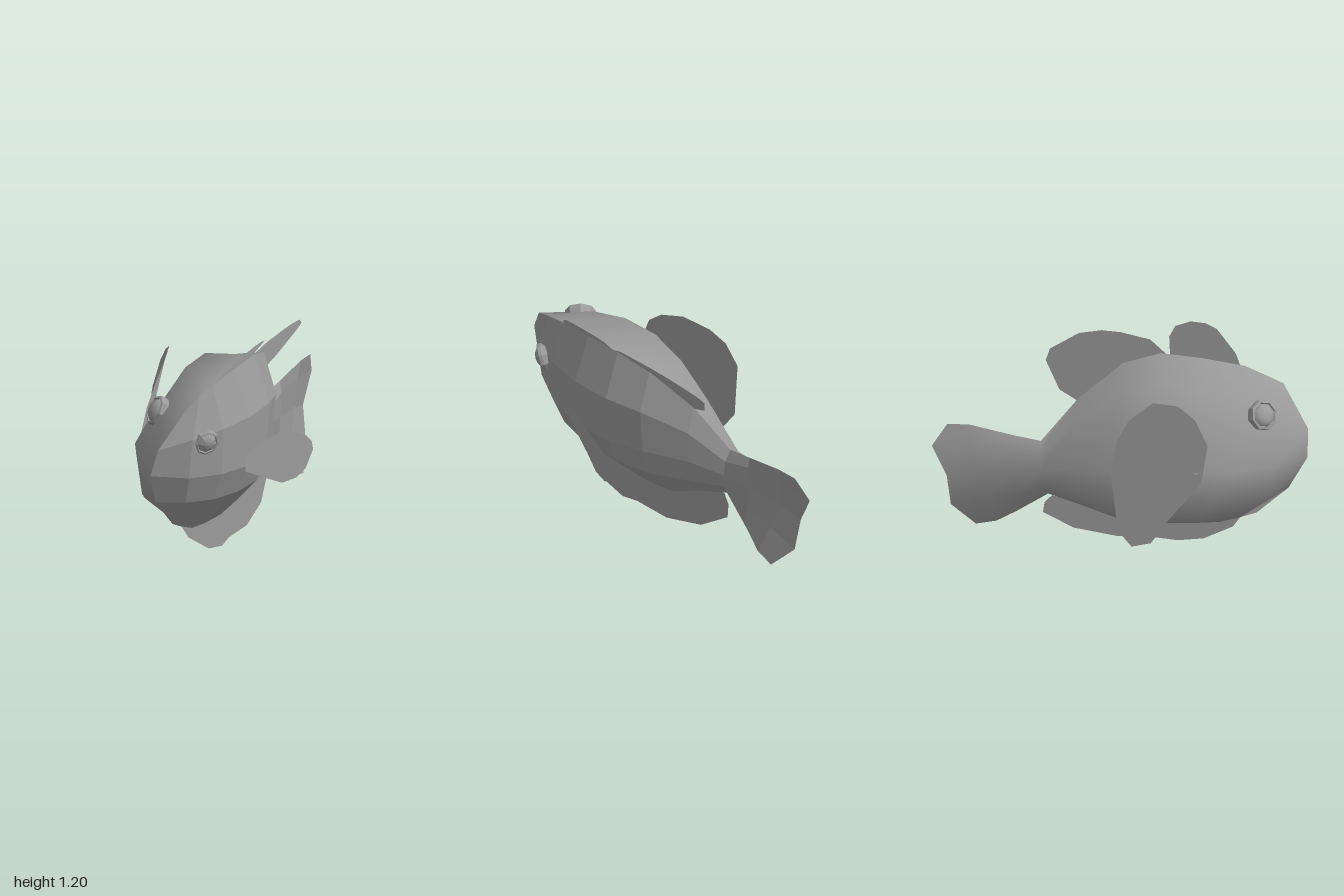
import * as THREE from 'three';

const material = new THREE.MeshStandardMaterial({ color: 0x9a9a9a, side: THREE.DoubleSide });
const flatMaterial = material.clone();
flatMaterial.flatShading = true;

// The fish's middle plane curves sideways with height; every part follows it.
// y: height on the middle plane, w: distance out along its normal.
function bend(z, y, w = 0) {
  const slope = 1.2 * (y - 0.42);
  const k = w / Math.hypot(1, slope);
  return new THREE.Vector3(0.6 * (y - 0.42) ** 2 - 0.015 + k, y - k * slope, z);
}

// Body lines from nose to tail tip, as [z, y, half width]
const back = [[0.86, 0.95], [0.76, 0.985], [0.65, 1.02], [0.43, 1.045], [0.2, 1.06], [0, 1.01],
  [-0.23, 0.84], [-0.42, 0.62], [-0.57, 0.645], [-0.8, 0.69], [-0.92, 0.69]];
const upper = [[1, 0.74, 0], [0.85, 0.82, 0.11], [0.65, 0.87, 0.18], [0.43, 0.905, 0.22],
  [0.2, 0.915, 0.22], [0, 0.87, 0.18], [-0.23, 0.73, 0.1], [-0.42, 0.57, 0.05],
  [-0.57, 0.59, 0.025], [-0.8, 0.595, 0.01], [-1, 0.57, 0]];
const middle = [[1, 0.59, 0], [0.84, 0.58, 0.155], [0.65, 0.58, 0.26], [0.43, 0.58, 0.315],
  [0.2, 0.575, 0.31], [0, 0.56, 0.25], [-0.23, 0.53, 0.145], [-0.42, 0.48, 0.07],
  [-0.57, 0.45, 0.035], [-0.78, 0.43, 0.015], [-0.92, 0.4, 0]];
const lower = [[0.9, 0.41, 0], [0.78, 0.385, 0.12], [0.63, 0.36, 0.21], [0.43, 0.34, 0.255],
  [0.2, 0.335, 0.26], [0, 0.34, 0.22], [-0.23, 0.36, 0.12], [-0.4, 0.385, 0.055],
  [-0.55, 0.31, 0.025], [-0.72, 0.26, 0.01], [-0.9, 0.21, 0]];
const belly = [[0.73, 0.24], [0.64, 0.2], [0.53, 0.16], [0.4, 0.145], [0.2, 0.135], [0, 0.15],
  [-0.2, 0.24], [-0.38, 0.31], [-0.55, 0.18], [-0.66, 0.1], [-0.77, 0.07]];

// One half of the body and tail, lofted between the lines.
// The left half is faceted per panel, the right half is smooth.
function bodyHalf(side) {
  const rows = [back, upper, middle, lower, belly];
  const n = back.length;
  const points = rows.flatMap((row) => row.map(([z, y, w = 0]) => bend(z, y, side * w)));
  const panels = [];
  for (let j = 0; j < rows.length - 1; j++) {
    for (let i = 0; i < n - 1; i++) {
      const a = j * n + i;
      panels.push(side > 0 ? [a, a + n, a + n + 1, a + 1] : [a, a + 1, a + n + 1, a + n]);
    }
  }
  const triangles = panels.flatMap(([a, b, c, d]) => [a, b, c, a, c, d]);
  const geometry = new THREE.BufferGeometry();
  if (side < 0) {
    geometry.setFromPoints(points).setIndex(triangles);
    geometry.computeVertexNormals();
  } else {
    geometry.setFromPoints(triangles.map((t) => points[t]));
    const normals = panels.flatMap((panel) => {
      const [a, b, c, d] = panel.map((p) => points[p]);
      const normal = c.clone().sub(a).cross(d.clone().sub(b)).normalize().toArray();
      return Array(6).fill(normal).flat();
    });
    geometry.setAttribute('normal', new THREE.Float32BufferAttribute(normals, 3));
  }
  return new THREE.Mesh(geometry, material);
}

// Thin fin from an outline of [z, y]; width(z) gives its distance from the middle.
// It is shaded evenly, as one sheet facing sideways.
function fin(outline, width = () => 0) {
  const shape = new THREE.Shape(outline.map(([z, y]) => new THREE.Vector2(z, y)));
  const geometry = new THREE.ShapeGeometry(shape);
  const { position, normal } = geometry.attributes;
  for (let i = 0; i < position.count; i++) {
    const z = position.getX(i);
    position.setXYZ(i, ...bend(z, position.getY(i), width(z)).toArray());
    normal.setXYZ(i, -1, 0, 0);
  }
  return new THREE.Mesh(geometry, material);
}

// Eight-sided rim with a low domed eyeball
function eye(side) {
  const group = new THREE.Group();
  const rimProfile = [[0.058, -0.05], [0.07, -0.005], [0.068, 0.012], [0.058, 0.016], [0.052, 0.004]];
  const rim = new THREE.Mesh(
    new THREE.LatheGeometry(rimProfile.map(([r, h]) => new THREE.Vector2(r, h)), 8), flatMaterial);
  rim.name = 'eyeRim';
  const ball = new THREE.Mesh(
    new THREE.SphereGeometry(0.055, 8, 4, 0, Math.PI * 2, 0, Math.PI / 2),
    side > 0 ? flatMaterial : material);
  ball.name = 'eyeball';
  ball.scale.y = 0.65;
  group.add(rim, ball);
  const at = bend(0.77, 0.81, side * 0.16);
  const out = bend(0.83, 0.82, side * 0.235).sub(at).normalize();
  group.position.copy(at);
  group.quaternion.setFromUnitVectors(new THREE.Vector3(0, 1, 0), out);
  group.scale.setScalar(side > 0 ? 1.03 : 1.2);
  return group;
}

export function createModel() {
  const model = new THREE.Group();
  const add = (name, part) => {
    part.name = name;
    model.add(part);
  };

  // Middle fins
  add('frontDorsalFin', fin([[0.63, 1.01], [0.6, 1.07], [0.49, 1.17], [0.43, 1.19], [0.35, 1.195],
    [0.27, 1.175], [0.24, 1.13], [0.25, 1.05], [0.43, 1.03]]));
  add('rearDorsalFin', fin([[0.24, 1.05], [0.14, 1.115], [-0.02, 1.14], [-0.12, 1.145],
    [-0.24, 1.13], [-0.39, 1.06], [-0.41, 1.01], [-0.33, 0.88], [-0.23, 0.83], [0, 1]]));
  add('bellyFin', fin([[0.64, 0.2], [0.6, 0.13], [0.44, 0.025], [0.3, 0], [0.2, 0.015],
    [-0.02, 0.015], [-0.25, 0.07], [-0.41, 0.18], [-0.4, 0.25], [-0.36, 0.3], [-0.2, 0.25],
    [0, 0.16], [0.2, 0.15], [0.53, 0.17]]));

  // Mirrored parts
  const sideFin = [[0.49, 0.69], [0.42, 0.79], [0.33, 0.84], [0.2, 0.85], [0.08, 0.79],
    [0.02, 0.72], [-0.01, 0.61], [0.03, 0.39], [0.1, 0.315], [0.2, 0.315], [0.3, 0.41], [0.46, 0.54]];
  for (const [side, word] of [[1, 'left'], [-1, 'right']]) {
    add(`${word}BodyHalf`, bodyHalf(side));
    add(`${word}SideFin`, fin(sideFin, (z) => side * (0.48 - 0.36 * z)));
    add(`${word}Eye`, eye(side));
  }
  return model;
}
